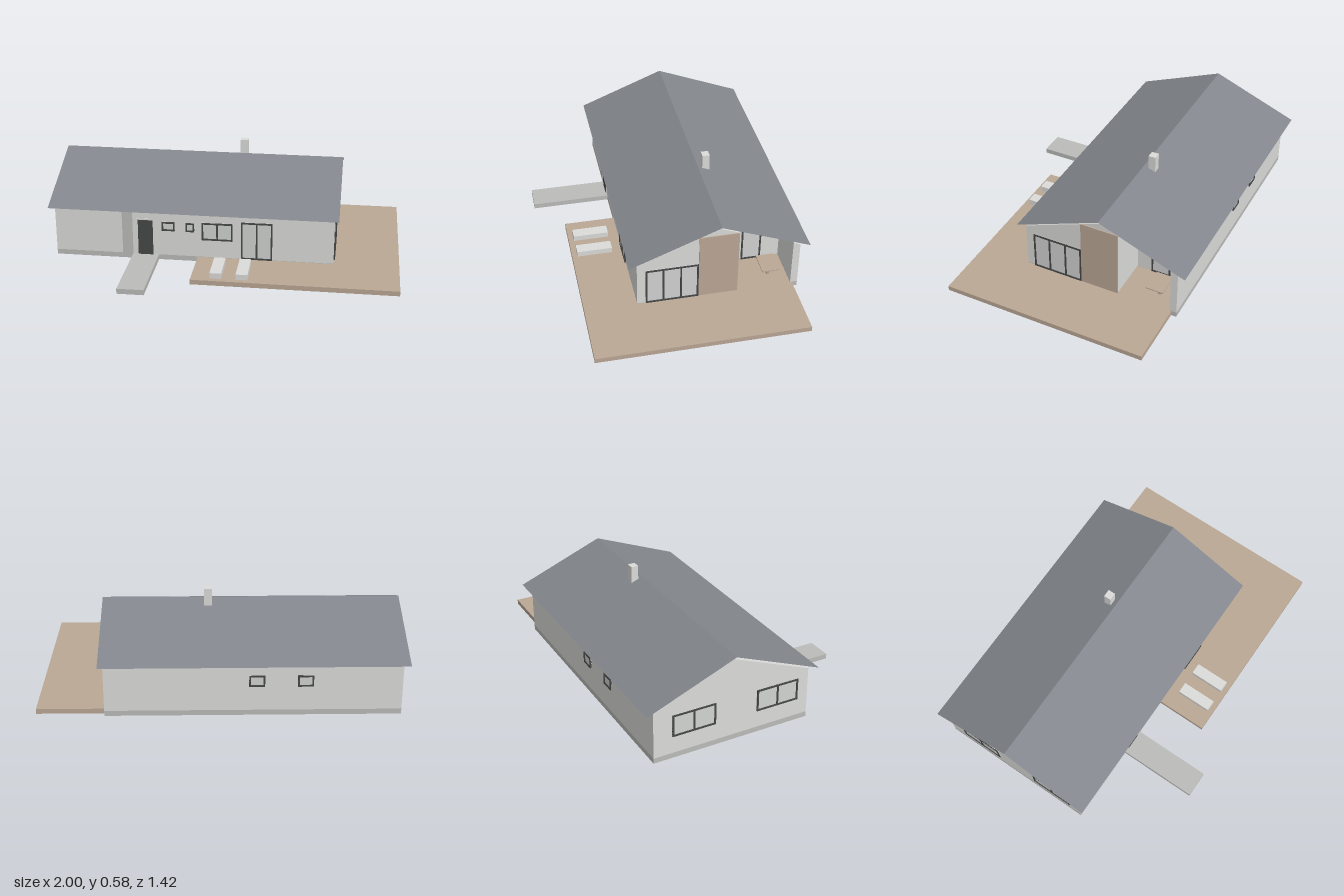
import * as THREE from 'three';

export function createModel() {
  const house = new THREE.Group();
  house.name = 'house';

  const mat = (name, color, side = THREE.FrontSide) => {
    const m = new THREE.MeshStandardMaterial({ color, side });
    m.name = name;
    return m;
  };
  const render = mat('wallRender', 0xdcdcda);
  const concrete = mat('concrete', 0xbcbdba);
  const timber = mat('timber', 0xbca896);
  const slate = mat('roofSlate', 0x83878d, THREE.DoubleSide);
  const dark = mat('darkFrame', 0x474848);
  const glass = mat('glass', 0xd2d4d2);

  const add = (name, geo, material, parent = house) => {
    const mesh = new THREE.Mesh(geo, material);
    mesh.name = name;
    parent.add(mesh);
    return mesh;
  };
  // Box given by its limits on each axis
  const box = (name, material, [x0, x1], [y0, y1], [z0, z1], parent = house) => {
    const mesh = add(name, new THREE.BoxGeometry(x1 - x0, y1 - y0, z1 - z0), material, parent);
    mesh.position.set((x0 + x1) / 2, (y0 + y1) / 2, (z0 + z1) / 2);
    return mesh;
  };
  const polygon = (pts) => new THREE.Shape(pts.map(([a, b]) => new THREE.Vector2(a, b)));
  // Flat slab from an [x, z] outline, standing on y = 0
  const slab = (name, material, pts, height) => add(name,
    new THREE.ExtrudeGeometry(polygon(pts.map(([x, z]) => [x, -z])), { depth: height, bevelEnabled: false })
      .rotateX(-Math.PI / 2), material);
  // Prism from a [z, y] profile, running along x
  const prism = (name, material, pts, x0, x1) => add(name,
    new THREE.ExtrudeGeometry(polygon(pts.map(([z, y]) => [-z, y])), { depth: x1 - x0, bevelEnabled: false })
      .rotateY(Math.PI / 2).translate(x0, 0, 0), material);

  const L = -0.97, R = 0.63, F = 0.255, B = -0.66, PX = 0.38, PZ = -0.31, BI = -0.62;
  const floor = 0.03, eave = 0.297, ridge = 0.48, ridgeZ = -0.205;
  const slopeY = (z) => ridge - Math.abs(z - ridgeZ) * (ridge - eave) / (F - ridgeZ);

  // Base, deck running into the porch, entrance path
  slab('foundation', concrete,
    [[L, F], [R, F], [R, PZ], [PX, PZ], [PX, BI], [R, BI], [R, B], [L, B]], floor);
  slab('deck', timber,
    [[-0.145, F], [-0.145, 0.55], [1, 0.55], [1, -0.63], [R, -0.63], [R, BI],
      [PX, BI], [PX, PZ], [R, PZ], [R, F]], floor - 0.002);
  box('entrancePath', concrete, [-0.52, -0.37], [0, floor], [F, 0.71]);

  // Walls, with the back right corner cut out as a porch
  prism('mainWalls', render, [[F, floor], [F, eave], [ridgeZ, ridge], [B, eave], [B, floor]], L, PX);
  prism('rightWalls', render,
    [[F, floor], [F, eave], [ridgeZ, ridge], [PZ, slopeY(PZ)], [PZ, floor]], PX, R);
  prism('porchBackWall', render,
    [[BI, floor], [BI, slopeY(BI)], [B, eave], [B, floor]], PX, R);
  box('timberPanel', timber, [R, R + 0.006], [floor, 0.438], [PZ, -0.088]);
  box('entrancePanel', concrete, [-0.58, -0.52], [floor, 0.295], [F, F + 0.004]);

  // Roof: two thin sheets meeting at the ridge
  for (const [name, edge] of [['frontRoof', 0.3], ['backRoof', -0.71]]) {
    const geo = new THREE.BufferGeometry();
    const near = edge > 0 ? -1 : 0.655, far = edge > 0 ? 0.655 : -1;
    geo.setAttribute('position', new THREE.Float32BufferAttribute([
      near, 0.304, edge, far, 0.304, edge, far, 0.505, ridgeZ, near, 0.505, ridgeZ], 3));
    geo.setIndex([0, 1, 2, 0, 2, 3]);
    geo.computeVertexNormals();
    add(name, geo, slate);
  }
  box('chimney', render, [0.045, 0.09], [0.3, 0.577], [-0.272, -0.23]);

  // Windows: pane, border bars and mullions, facing local +z
  const opening = (name, w, y0, y1, panes, position, turn) => {
    const g = new THREE.Group();
    g.name = name;
    const t = 0.009, d = [0, 0.008], h = w / 2;
    box('pane', glass, [-h, h], [y0, y1], [0, 0.003], g);
    box('sill', dark, [-h, h], [y0, y0 + t], d, g);
    box('head', dark, [-h, h], [y1 - t, y1], d, g);
    for (let i = 0; i <= panes; i++) {
      const inner = i > 0 && i < panes;
      const x = inner ? -h + w * i / panes : (i ? h - t / 2 : -h + t / 2);
      box('upright', dark, [x - t / 2, x + t / 2], [y0 + t, y1 - t], d, g);
    }
    g.position.set(...position);
    g.rotation.y = turn;
    house.add(g);
  };
  const front = [[-0.35, -0.275, 0.183, 0.237, 1], [-0.212, -0.163, 0.183, 0.237, 1],
    [-0.12, 0.057, 0.137, 0.243, 2], [0.105, 0.283, floor, 0.257, 2]];
  for (const [a, b, y0, y1, n] of front)
    opening('frontWindow', b - a, y0, y1, n, [(a + b) / 2, 0, F], 0);
  for (const x of [-0.19, -0.45])
    opening('backWindow', 0.085, 0.17, 0.235, 1, [x, 0, B], Math.PI);
  for (const z of [-0.43, 0.065])
    opening('leftWindow', 0.25, 0.13, 0.255, 2, [L, 0, z], -Math.PI / 2);
  opening('terraceDoors', 0.295, floor, 0.257, 3, [R, 0, 0.06], Math.PI / 2);
  opening('porchDoor', 0.115, floor, 0.257, 1, [PX, 0, -0.455], Math.PI / 2);

  // Entrance door
  box('doorFrame', render, [-0.495, -0.395], [floor, 0.25], [F, F + 0.003]);
  box('frontDoor', dark, [-0.488, -0.402], [floor, 0.242], [F, F + 0.006]);

  // Benches on the deck and a porch table
  for (const x of [-0.04, 0.105])
    box('bench', render, [x, x + 0.065], [floor - 0.002, 0.06], [0.317, 0.52]);
  box('tableTop', timber, [0.46, 0.6], [0.102, 0.108], [-0.565, -0.463]);
  box('tableLeg', timber, [0.522, 0.538], [floor - 0.002, 0.102], [-0.525, -0.508]);

  return house;
}
